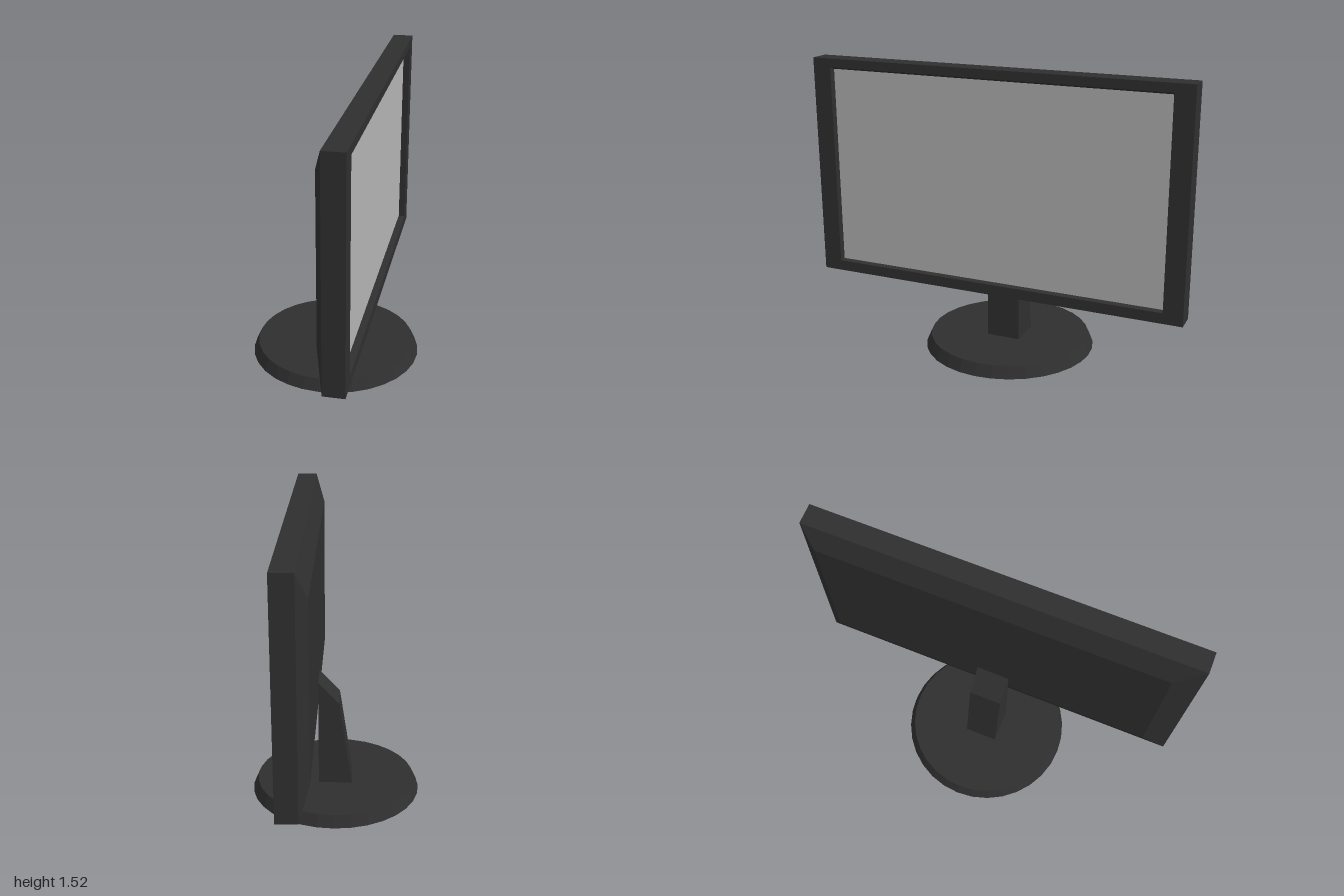
import * as THREE from 'three';

// Four corners of a rectangle standing in the plane of the given x
const rect = (x, y0, y1, z0, z1) => [[x, y0, z0], [x, y0, z1], [x, y1, z1], [x, y1, z0]];

// Flat-shaded geometry from a list of four-cornered faces
function quads(faces) {
  const points = [];
  for (const [a, b, c, d] of faces) points.push(...a, ...b, ...c, ...a, ...c, ...d);
  const geometry = new THREE.BufferGeometry();
  geometry.setAttribute('position', new THREE.Float32BufferAttribute(points, 3));
  geometry.computeVertexNormals();
  return geometry;
}

export function createModel() {
  const group = new THREE.Group();
  const plastic = new THREE.MeshStandardMaterial({ color: 0x2f2f2f });
  plastic.name = 'darkPlastic';
  plastic.flatShading = true;
  const glass = new THREE.MeshStandardMaterial({ color: 0xb4b4b4 });
  glass.name = 'greyScreen';

  const add = (name, geometry, material) => {
    const mesh = new THREE.Mesh(geometry, material);
    mesh.name = name;
    group.add(mesh);
    return mesh;
  };

  // Round foot with a sloping rim
  add('base', new THREE.CylinderGeometry(0.425, 0.453, 0.062, 32), plastic).position.y = 0.031;

  // Tapered neck, its profile extruded across z
  const profile = new THREE.Shape([[-0.09, 0.06], [0.09, 0.06], [0.09, 0.65], [-0.02, 0.53]]
    .map(([x, y]) => new THREE.Vector2(x, y)));
  const neck = new THREE.ExtrudeGeometry(profile, { depth: 0.178, bevelEnabled: false });
  add('neck', neck.translate(0, 0, -0.089), plastic);

  // Housing: bevelled back, sides, bezel and recess as a chain of rectangles
  const loops = [
    rect(0.09, 0.53, 1.392, -0.925, 0.87),
    rect(0.14, 0.365, 1.525, -1, 1),
    rect(0.248, 0.365, 1.525, -1, 1),
    rect(0.248, 0.42, 1.48, -0.9, 0.9),
    rect(0.213, 0.422, 1.467, -0.9, 0.9),
  ];
  const faces = [loops[0]];
  for (let i = 0; i < loops.length - 1; i++) {
    for (let j = 0; j < 4; j++) {
      const k = (j + 1) % 4;
      faces.push([loops[i][j], loops[i + 1][j], loops[i + 1][k], loops[i][k]]);
    }
  }
  add('housing', quads(faces), plastic);

  // Screen filling the recess
  add('screen', quads([[...loops[4]].reverse()]), glass);

  return group;
}
